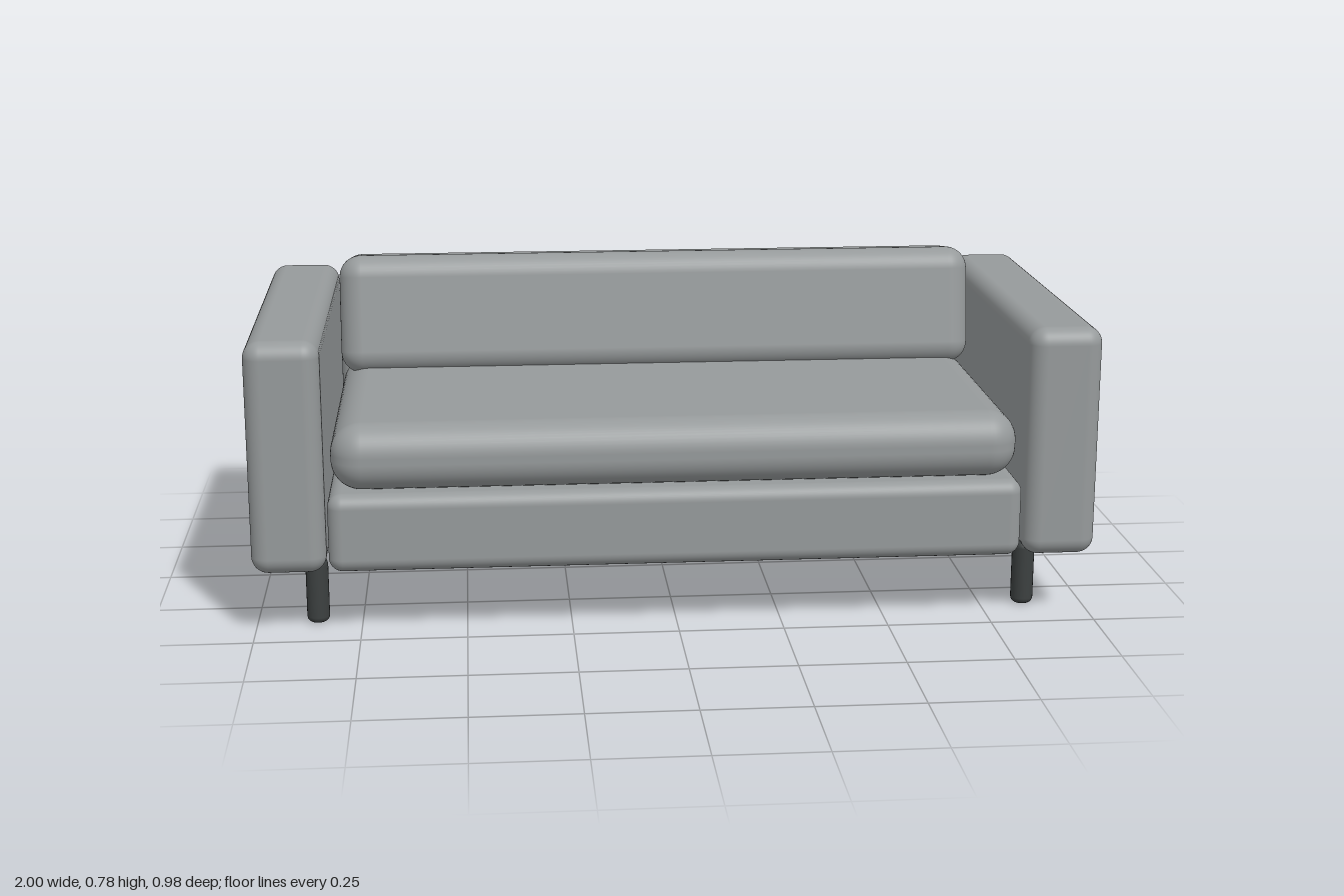
import * as THREE from 'three';
import { RoundedBoxGeometry } from 'three/addons/geometries/RoundedBoxGeometry.js';

const fabric = new THREE.MeshStandardMaterial({ color: 0x969a9b });
const legMaterial = new THREE.MeshStandardMaterial({ color: 0x3c4040 });

// Soft upholstered block given by its size, centre and edge radius
function softBlock(name, [w, h, d], [x, y, z], radius) {
  const mesh = new THREE.Mesh(new RoundedBoxGeometry(w, h, d, 6, radius), fabric);
  mesh.name = name;
  mesh.position.set(x, y, z);
  return mesh;
}

// Round leg profile with softened ends
function legGeometry(radius, height, bevel) {
  const points = [new THREE.Vector2(0, 0)];
  const steps = 4;
  for (let i = 0; i <= steps; i++) {
    const a = (i / steps) * Math.PI / 2;
    points.push(new THREE.Vector2(radius - bevel + bevel * Math.sin(a), bevel - bevel * Math.cos(a)));
  }
  for (let i = 0; i <= steps; i++) {
    const a = (i / steps) * Math.PI / 2;
    points.push(new THREE.Vector2(radius - bevel + bevel * Math.cos(a), height - bevel + bevel * Math.sin(a)));
  }
  points.push(new THREE.Vector2(0, height));
  return new THREE.LatheGeometry(points, 24);
}

export function createModel() {
  const sofa = new THREE.Group();
  sofa.name = 'sofa';

  // Frame: base and low backrest
  sofa.add(softBlock('base', [1.64, 0.188, 0.976], [0, 0.252, 0], 0.033));
  sofa.add(softBlock('backrest', [1.64, 0.355, 0.17], [0, 0.524, -0.403], 0.04));

  // Seat cushion, plump at the edges
  sofa.add(softBlock('seatCushion', [1.622, 0.16, 0.81], [0, 0.425, 0.077], 0.072));

  // Back cushion leaning against the backrest
  const backCushion = softBlock('backCushion', [1.62, 0.3, 0.234], [0, 0.624, -0.246], 0.055);
  backCushion.rotation.x = -0.16;
  sofa.add(backCushion);

  // Arms and legs, mirrored left and right
  const leg = legGeometry(0.027, 0.158, 0.015);
  for (const side of [1, -1]) {
    const sideName = side > 0 ? 'left' : 'right';
    sofa.add(softBlock(`${sideName}Arm`, [0.175, 0.555, 0.978], [side * 0.9125, 0.4345, 0], 0.04));
    for (const end of [1, -1]) {
      const mesh = new THREE.Mesh(leg, legMaterial);
      mesh.name = `${sideName}${end > 0 ? 'Front' : 'Back'}Leg`;
      mesh.position.set(side * 0.856, 0, end * 0.356);
      sofa.add(mesh);
    }
  }
  return sofa;
}
